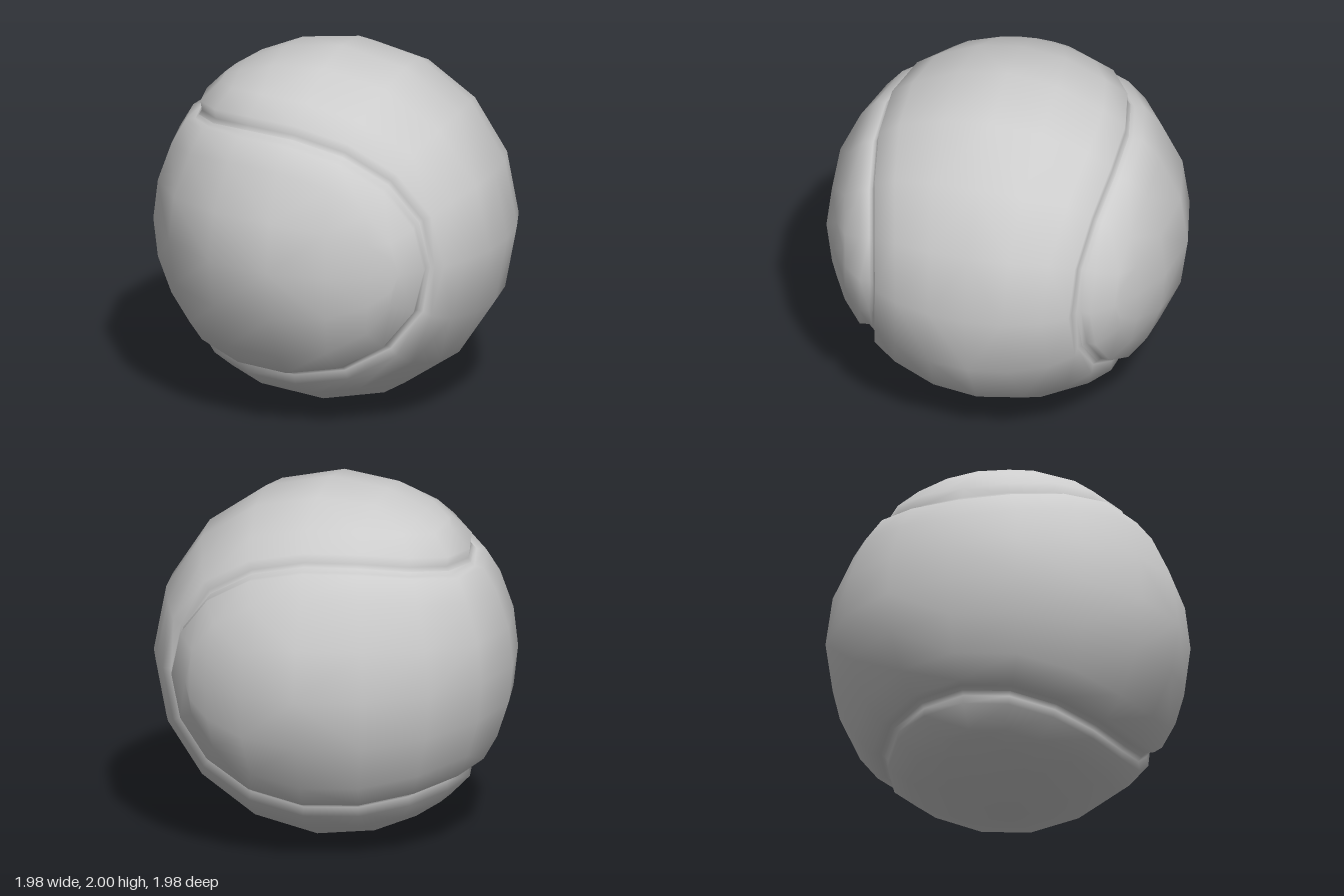
import * as THREE from 'three';
import { mergeVertices } from 'three/addons/utils/BufferGeometryUtils.js';

const A = 0.8, B = 0.2, C = 2 * Math.sqrt(A * B); // seam curve on the unit sphere
const STEPS = 16;                                 // seam segments along one side of a panel
const ACROSS = 4;                                 // segments across the middle of a panel
// groove profile: angle from the seam centre, radius
const PROFILE = [[0, 0.955], [0.03, 0.957], [0.065, 0.997], [0.22, 1]];

function seam(t) {
  const x = A * Math.cos(t) + B * Math.cos(3 * t);
  const y = A * Math.sin(t) - B * Math.sin(3 * t);
  return new THREE.Vector3(C * Math.sin(2 * t), (y - x) * Math.SQRT1_2, (x + y) * Math.SQRT1_2);
}

// One cross-section of a panel, from the seam on one side to its mirror image
function crossSection(t) {
  const p = seam(t).normalize();
  const tangent = seam(t - 0.001).sub(seam(t + 0.001)).normalize();
  const inward = p.clone().cross(tangent).normalize();
  const side = PROFILE.map(([d, r]) =>
    p.clone().multiplyScalar(Math.cos(d)).addScaledVector(inward, Math.sin(d)).multiplyScalar(r));
  const mirrored = side.map(q => new THREE.Vector3(q.x, q.y, -q.z)).reverse();
  const from = side[side.length - 1], to = mirrored[0];
  const angle = from.angleTo(to), middle = [];
  for (let k = 1; k < ACROSS; k++) {
    const f = k / ACROSS;
    const q = angle < 1e-4 ? from.clone()
      : from.clone().multiplyScalar(Math.sin((1 - f) * angle)).addScaledVector(to, Math.sin(f * angle));
    middle.push(q.normalize());
  }
  return [...side, ...middle, ...mirrored];
}

// Dumbbell-shaped panel lofted from lobe tip to lobe tip
function panelGeometry() {
  const rows = [];
  for (let i = 0; i <= STEPS; i++) rows.push(crossSection(Math.PI * (0.75 - i / STEPS)));
  const pos = [];
  const tri = (a, b, c) => {
    if (new THREE.Triangle(a, b, c).getArea() < 1e-6) return;
    for (const q of [a, b, c]) pos.push(q.x, q.y, q.z);
  };
  for (let i = 0; i < STEPS; i++) {
    for (let j = 0; j < rows[0].length - 1; j++) {
      const a = rows[i][j], b = rows[i + 1][j], c = rows[i + 1][j + 1], d = rows[i][j + 1];
      if (a.distanceTo(c) < b.distanceTo(d)) { tri(a, b, c); tri(a, c, d); }
      else { tri(a, b, d); tri(b, c, d); }
    }
  }
  let geo = new THREE.BufferGeometry();
  geo.setAttribute('position', new THREE.Float32BufferAttribute(pos, 3));
  geo = mergeVertices(geo, 1e-4);
  geo.computeVertexNormals();
  return geo;
}

export function createModel() {
  const felt = new THREE.MeshStandardMaterial({ color: 0xcccccc });
  felt.name = 'grey felt';
  const geo = panelGeometry();

  const ball = new THREE.Group();
  ball.name = 'ball';
  const first = new THREE.Mesh(geo, felt);
  first.name = 'uprightPanel';
  // the second panel is the first, half turned about a diagonal axis
  const second = new THREE.Mesh(geo, felt);
  second.name = 'levelPanel';
  second.quaternion.setFromAxisAngle(new THREE.Vector3(0, 1, 1).normalize(), Math.PI);
  ball.add(first, second);
  ball.rotation.y = -THREE.MathUtils.degToRad(34);
  ball.position.y = 1;

  const model = new THREE.Group();
  model.name = 'seamedBall';
  model.add(ball);
  return model;
}
